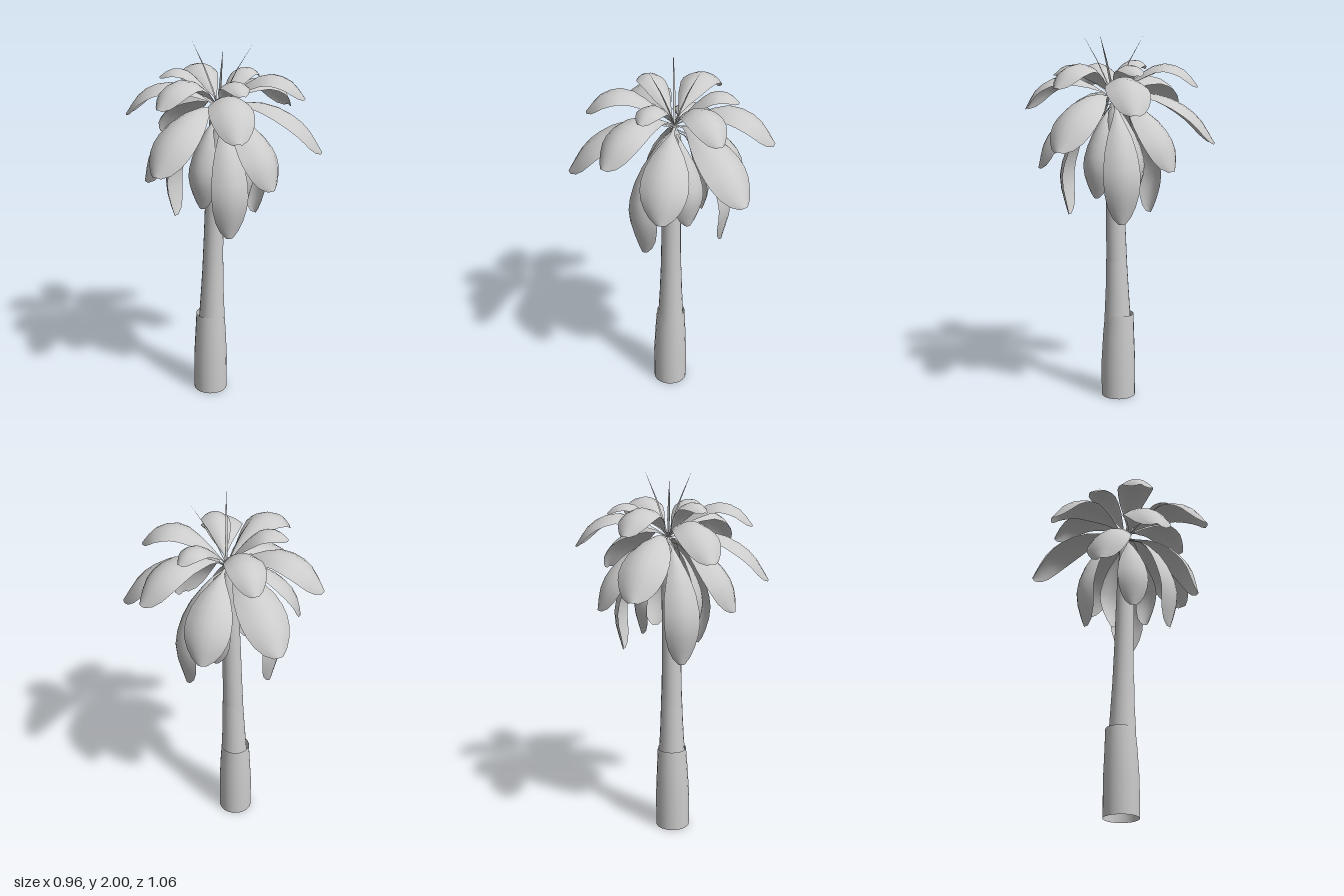
import * as THREE from 'three';

const material = new THREE.MeshStandardMaterial({ color: 0xcccccc, side: THREE.DoubleSide });
const CROWN = [0.03, -0.02]; // x, z of the crown centre

// Relative half width along a blade: thin stalk, broad paddle, round tip
const PADDLE = [[0, 0.05], [0.12, 0.09], [0.22, 0.32], [0.35, 0.66], [0.48, 0.89], [0.6, 0.99],
  [0.7, 1], [0.8, 0.93], [0.89, 0.76], [0.96, 0.5], [1, 0.2]];
const SPIKE = [[0, 0.5], [0.3, 1], [0.6, 0.7], [1, 0.02]];

// Leaves of each ring: azimuths in degrees, width, and arch as (radius, height)
const RINGS = [
  { name: 'newShoot', azimuths: [45, 177, -45], width: 0.014, outline: SPIKE, arch: [[0, 1.67], [0.07, 1.83], [0.175, 2]] },
  { name: 'youngLeaf', azimuths: [143], width: 0.145, arch: [[0, 1.67], [0.09, 1.795], [0.17, 1.865], [0.25, 1.87], [0.31, 1.83]] },
  { name: 'topLeaf', azimuths: [30, -90], width: 0.145, arch: [[0, 1.67], [0.1, 1.78], [0.19, 1.845], [0.27, 1.84], [0.325, 1.795]] },
  { name: 'upperLeaf', azimuths: [-29, 92, -152], width: 0.195, arch: [[0, 1.67], [0.12, 1.785], [0.25, 1.855], [0.37, 1.825], [0.45, 1.735]] },
  { name: 'spreadingLeaf', azimuths: [41, 155, -80], width: 0.225, arch: [[0, 1.67], [0.14, 1.75], [0.28, 1.79], [0.42, 1.735], [0.515, 1.61]] },
  { name: 'middleLeaf', azimuths: [-39, 85, -162], width: 0.255, arch: [[0, 1.67], [0.15, 1.7], [0.3, 1.675], [0.45, 1.58], [0.55, 1.43]] },
  { name: 'lowerLeaf', azimuths: [9, 121, -116], width: 0.245, arch: [[0, 1.66], [0.13, 1.645], [0.265, 1.575], [0.37, 1.455], [0.41, 1.31]] },
  { name: 'droopingLeaf', azimuths: [38, 163, -78], width: 0.195, arch: [[0, 1.65], [0.08, 1.625], [0.22, 1.48], [0.302, 1.26], [0.26, 1.03]] },
  { name: 'innerDroopingLeaf', azimuths: [88, -30, 250], width: 0.175, arch: [[0, 1.64], [0.06, 1.6], [0.14, 1.48], [0.19, 1.32], [0.155, 1.15]] },
];

// Arched blade along +x, its edges folded down away from the midrib
function bladeGeometry({ arch, width, outline = PADDLE }) {
  const curve = new THREE.CatmullRomCurve3(arch.map(([r, y]) => new THREE.Vector3(r, y, 0)));
  const across = 6;
  const positions = [], index = [];
  outline.forEach(([t, w], i) => {
    const p = curve.getPointAt(t), tangent = curve.getTangentAt(t);
    const half = (w * width) / 2;
    for (let j = 0; j <= across; j++) {
      const s = (j / across) * 2 - 1;
      const drop = 0.45 * half * s * s;
      positions.push(p.x + tangent.y * drop, p.y - tangent.x * drop, s * half);
      if (i > 0 && j > 0) {
        const d = i * (across + 1) + j, c = d - 1, b = d - across - 1, a = b - 1;
        index.push(a, b, c, b, d, c);
      }
    }
  });
  const geometry = new THREE.BufferGeometry();
  geometry.setAttribute('position', new THREE.Float32BufferAttribute(positions, 3));
  geometry.setIndex(index);
  geometry.computeVertexNormals();
  return geometry;
}

// Open trunk section; each level is [height, radius, centre x, centre z]
function trunkSection(name, levels) {
  const profile = levels.map(([y, r]) => new THREE.Vector2(r, y));
  const geometry = new THREE.LatheGeometry(profile, 20);
  const p = geometry.attributes.position;
  for (let i = 0; i < p.count; i++) {
    const [, , x, z] = levels[i % levels.length];
    p.setX(i, p.getX(i) + x);
    p.setZ(i, p.getZ(i) + z);
  }
  const mesh = new THREE.Mesh(geometry, material);
  mesh.name = name;
  return mesh;
}

export function createModel() {
  const palm = new THREE.Group();
  palm.name = 'palmTree';

  // Trunk of three overlapping sleeves leaning slightly to one side
  const trunk = new THREE.Group();
  trunk.name = 'trunk';
  trunk.add(
    trunkSection('trunkBase', [[0, 0.095, -0.007, 0.004], [0.2, 0.095, -0.007, 0.004], [0.36, 0.087, -0.008, 0.002], [0.475, 0.08, -0.011, 0]]),
    trunkSection('trunkMiddle', [[0.42, 0.075, -0.002, 0], [0.47, 0.072, 0, 0], [0.62, 0.064, 0.002, -0.001], [0.785, 0.058, 0.007, -0.002]]),
    trunkSection('trunkTop', [[0.72, 0.058, 0.003, -0.001], [0.95, 0.054, 0.01, -0.002], [1.2, 0.051, 0.016, -0.004], [1.45, 0.046, 0.023, -0.011], [1.6, 0.036, 0.028, -0.018], [1.67, 0.005, 0.03, -0.02]]),
  );
  palm.add(trunk);

  // Crown: rings of leaves, longer and lower ring by ring
  const crown = new THREE.Group();
  crown.name = 'crown';
  crown.position.set(CROWN[0], 0, CROWN[1]);
  for (const ring of RINGS) {
    const geometry = bladeGeometry(ring);
    ring.azimuths.forEach((azimuth, k) => {
      const leaf = new THREE.Mesh(geometry, material);
      leaf.name = ring.name + (k + 1);
      leaf.rotation.y = -THREE.MathUtils.degToRad(azimuth);
      crown.add(leaf);
    });
  }
  palm.add(crown);
  return palm;
}
